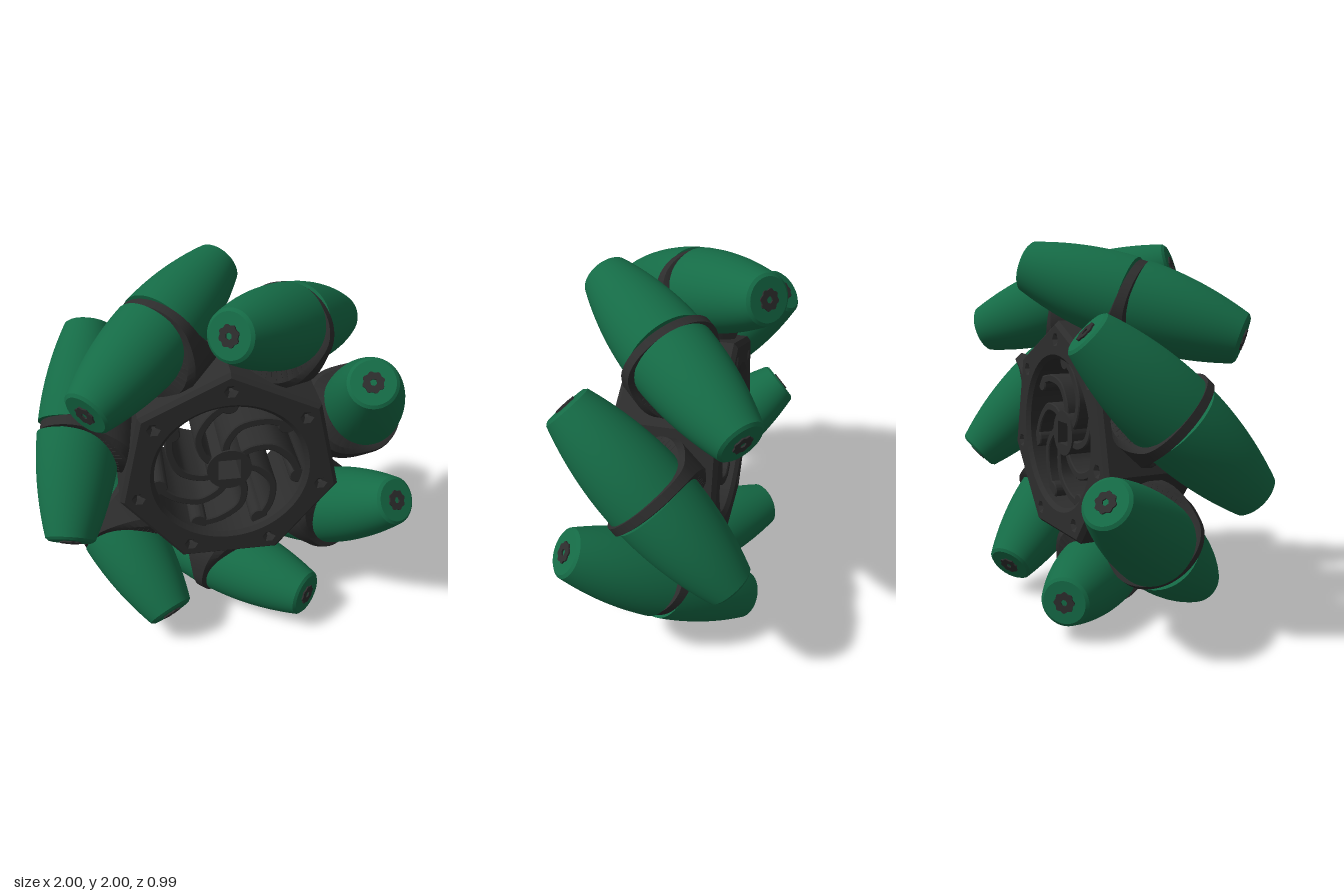
import * as THREE from 'three';
import { toCreasedNormals } from 'three/addons/utils/BufferGeometryUtils.js';

const COUNT = 7;
const STEP = (Math.PI * 2) / COUNT;
const ROLLER_R = 0.78;   // distance of roller axes from the wheel axis
const HALF_LEN = 0.585;  // half the length of a roller
const GAP = 0.03;        // half the slot between the two roller halves

const green = new THREE.MeshStandardMaterial({ color: 0x156b46 });
const dark = new THREE.MeshStandardMaterial({ color: 0x2d2d2d });

function add(parent, name, geometry, material) {
  const mesh = new THREE.Mesh(geometry, material);
  mesh.name = name;
  parent.add(mesh);
  return mesh;
}

const polar = (r, a) => new THREE.Vector2(r * Math.cos(a), r * Math.sin(a));

function polygon(n, r, start, Type = THREE.Shape) {
  return new Type(Array.from({ length: n }, (_, i) => polar(r, start + (i * Math.PI * 2) / n)));
}

function circle(r, Type = THREE.Shape, x = 0, y = 0) {
  return new Type().absarc(x, y, r, 0, Math.PI * 2, false);
}

// Extrusion centred on z = 0, chamfered inwards
function extrude(shape, depth, bevel) {
  const g = new THREE.ExtrudeGeometry(shape, {
    depth: depth - 2 * bevel, curveSegments: 40, bevelEnabled: bevel > 0,
    bevelSize: bevel, bevelThickness: bevel, bevelOffset: -bevel, bevelSegments: 1,
  });
  g.translate(0, 0, -depth / 2 + bevel);
  return toCreasedNormals(g, 0.5);
}

// Barrel profile that keeps the roller inside the wheel's outer circle
function rollerRadius(s) {
  const t = s / Math.SQRT2;
  const d = Math.hypot(ROLLER_R, t);
  return (1 - d) / Math.sqrt((ROLLER_R / d) ** 2 + (t / d) ** 2 / 2);
}

function rollerHalfGeometry() {
  const pts = [new THREE.Vector2(0, GAP)];
  for (let i = 0; i <= 14; i++) {
    const s = GAP + ((HALF_LEN - 0.012 - GAP) * i) / 14;
    pts.push(new THREE.Vector2(rollerRadius(s), s));
  }
  pts.push(new THREE.Vector2(rollerRadius(HALF_LEN) - 0.012, HALF_LEN), new THREE.Vector2(0, HALF_LEN));
  const g = toCreasedNormals(new THREE.LatheGeometry(pts, 48), 0.5);
  return g.rotateZ(-Math.PI / 2);
}

// Lobed end cap with a small hexagonal socket
function capGeometry() {
  const shape = new THREE.Shape(Array.from({ length: 48 }, (_, i) => {
    const a = (i / 48) * Math.PI * 2;
    return polar(0.052 + 0.004 * Math.cos(8 * a), a);
  }));
  shape.holes.push(polygon(6, 0.018, 0, THREE.Path));
  return extrude(shape, 0.016, 0).rotateY(Math.PI / 2).translate(HALF_LEN, 0, 0);
}

// Collar around the roller slot: thin on the outside, flaring into the hub
function bracketGeometry() {
  const n = 64, pos = [], index = [];
  for (let i = 0; i <= n; i++) {
    const a = (i / n) * Math.PI * 2, c = Math.cos(a), s = Math.sin(a);
    const e = c > 0 ? 2 : 3;
    const rho = (Math.abs(s / 0.25) ** e + Math.abs(c / (c > 0 ? 0.205 : 0.29)) ** e) ** (-1 / e);
    const w = 0.03 + 0.17 * ((1 - c) / 2) ** 3.5;
    const profile = [[-w, 0], [-w, 0.9], [-0.75 * w, 1], [0.75 * w, 1], [w, 0.9], [w, 0]];
    for (const [u, k] of profile) pos.push(u, k * rho * c, k * rho * s);
    if (i === n) continue;
    for (let j = 0; j < 5; j++) {
      const p = i * 6 + j, q = p + 6;
      index.push(p, q, p + 1, q, q + 1, p + 1);
    }
  }
  const g = new THREE.BufferGeometry();
  g.setAttribute('position', new THREE.Float32BufferAttribute(pos, 3));
  g.setIndex(index);
  return toCreasedNormals(g, 0.6);
}

// Swept spoke outline: a constant-width band along a curve
function spokeGeometry() {
  const path = [[0.1, 64], [0.17, 54], [0.26, 38], [0.335, 17], [0.39, 1]]
    .map(([r, deg]) => polar(r, THREE.MathUtils.degToRad(deg)));
  const curve = new THREE.SplineCurve(path);
  const sideA = [], sideB = [];
  for (let i = 0; i <= 20; i++) {
    const p = curve.getPoint(i / 20), t = curve.getTangent(i / 20);
    const normal = new THREE.Vector2(-t.y, t.x).multiplyScalar(0.022);
    sideA.push(p.clone().add(normal));
    sideB.unshift(p.clone().sub(normal));
  }
  return extrude(new THREE.Shape([...sideA, ...sideB]), 0.44, 0.006);
}

export function createModel() {
  const model = new THREE.Group();
  model.name = 'omnidirectionalWheel';
  const wheel = new THREE.Group();
  wheel.name = 'wheel';
  wheel.position.y = 1;
  model.add(wheel);

  // Seven-sided rim with a round opening and bolt holes at the corners
  const rim = polygon(COUNT, 0.6, Math.PI / 2);
  rim.holes.push(circle(0.4, THREE.Path));
  for (let i = 0; i < COUNT; i++) {
    const p = polar(0.5, Math.PI / 2 + i * STEP);
    const hole = polygon(6, 0.012, 0).getPoints().map((v) => v.add(p));
    rim.holes.push(new THREE.Path(hole));
  }
  add(wheel, 'rim', extrude(rim, 0.54, 0.022), dark);

  // Centre boss with a square shaft hole
  const boss = circle(0.12);
  boss.holes.push(polygon(4, 0.06 * Math.SQRT2, Math.PI / 4, THREE.Path));
  add(wheel, 'centreBoss', extrude(boss, 0.46, 0), dark);

  const spoke = spokeGeometry();
  const knob = extrude(circle(0.048, THREE.Shape, 0.385, 0), 0.44, 0.006);
  const half = rollerHalfGeometry();
  const cap = capGeometry();
  const bracket = bracketGeometry();

  for (let i = 0; i < COUNT; i++) {
    // Curved spoke and its foot on the rim
    const arm = new THREE.Group();
    arm.name = 'spoke';
    arm.rotation.z = Math.PI / 2 + i * STEP;
    add(arm, 'spokeBlade', spoke, dark);
    add(arm, 'spokeFoot', knob, dark);
    wheel.add(arm);

    // Roller station on each flat of the rim, its axis turned 45 degrees
    const station = new THREE.Group();
    station.name = 'rollerStation';
    station.rotation.z = (i + 0.5) * STEP;
    const roller = new THREE.Group();
    roller.name = 'roller';
    roller.position.y = ROLLER_R;
    roller.rotation.y = (-3 * Math.PI) / 4;
    add(roller, 'bracket', bracket, dark);
    for (const turn of [0, Math.PI]) {
      add(roller, 'rollerHalf', half, green).rotation.y = turn;
      add(roller, 'rollerCap', cap, dark).rotation.y = turn;
    }
    station.add(roller);
    wheel.add(station);
  }
  return model;
}
